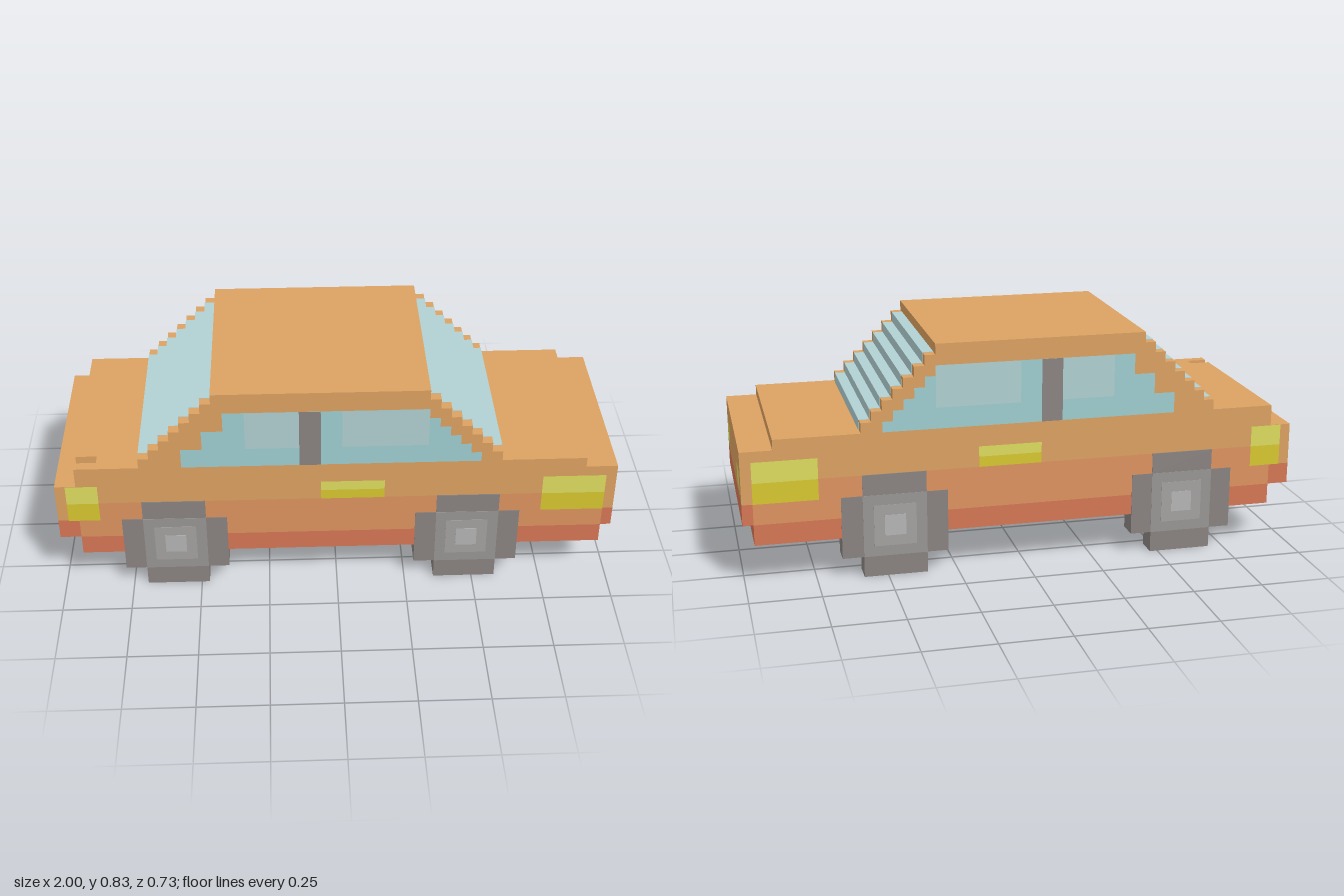
import * as THREE from 'three';

const UNIT = 2 / 53;      // size of one block; everything below is in blocks
const HALF = 9.5;         // half the car's width
const SKIN = 0.04;        // how far painted panels stand off the body

const COLORS = {
  orange: 0xdca161, band: 0xdd935f, red: 0xd67654, glass: 0x9fced0, shine: 0xb1d0d2,
  lamp: 0xdedc60, lampDark: 0xd8c72f, tyre: 0x8a8481, rim: 0x999694, hub: 0xa4a2a1, cap: 0xb6b5b5,
};

export function createModel() {
  const root = new THREE.Group();
  root.name = 'car';
  const car = new THREE.Group();
  car.name = 'blocks';
  car.scale.setScalar(UNIT);
  root.add(car);

  const materials = {};
  for (const key in COLORS) materials[key] = new THREE.MeshStandardMaterial({ color: COLORS[key] });

  const add = (name, geometry, color, x = 0, y = 0, z = 0) => {
    const mesh = new THREE.Mesh(geometry, materials[color]);
    mesh.name = name;
    mesh.position.set(x, y, z);
    car.add(mesh);
    return mesh;
  };

  // x runs 0..53 from the rear, y runs up from the ground, z is centred
  const box = (name, color, x0, x1, y0, y1, z0, z1) =>
    add(name, new THREE.BoxGeometry(x1 - x0, y1 - y0, z1 - z0), color,
      (x0 + x1) / 2 - 26.5, (y0 + y1) / 2, (z0 + z1) / 2);

  const extrude = (name, color, points, z0, z1) => {
    const shape = new THREE.Shape(points.map(([x, y]) => new THREE.Vector2(x - 26.5, y)));
    return add(name, new THREE.ExtrudeGeometry(shape, { depth: z1 - z0, bevelEnabled: false }), color, 0, 0, z0);
  };

  // flat painted rectangle on both flanks
  const flank = (name, color, x0, x1, y0, y1, layer = 1) => {
    for (const side of [1, -1]) {
      const mesh = add(name, new THREE.PlaneGeometry(x1 - x0, y1 - y0), color,
        (x0 + x1) / 2 - 26.5, (y0 + y1) / 2, side * (HALF + SKIN * layer));
      if (side < 0) mesh.rotation.y = Math.PI;
    }
  };

  // lower sill and bumpers
  extrude('sill', 'red',
    [[2, 4], [52, 4], [52, 6], [53, 6], [53, 8], [0, 8], [0, 6], [2, 6]], -HALF, HALF);

  // upper body with stepped windscreen and rear window
  const profile = [[0, 8], [53, 8], [53, 13], [50, 13], [50, 14], [42, 14]];
  for (let i = 0; i < 8; i++) {
    profile.push([42 - i, 15 + i]);
    if (i < 7) profile.push([41 - i, 15 + i]);
  }
  for (let i = 0; i < 8; i++) profile.push([15 - i, 22 - i], [15 - i, 21 - i]);
  profile.push([4, 14], [4, 13], [2, 13], [2, 12], [0, 12]);
  extrude('body', 'orange', profile, -HALF, HALF);

  // rear deck edge, leaving a small notch
  box('rearDeck', 'orange', 2, 4, 13, 14, -HALF, 7.5);
  box('rearDeck', 'orange', 2, 4, 13, 14, 8.5, HALF);

  // glass on each step of the windscreen and rear window
  for (let i = 0; i < 7; i++) {
    box('windscreen', 'shine', 35 + i, 36 + i + SKIN, 20 - i, 21 - i + SKIN, -8.5, 8.5);
    box('rearWindow', 'shine', 14 - i - SKIN, 15 - i, 20 - i, 21 - i + SKIN, -8.5, 8.5);
  }

  // side stripe
  flank('sideStripe', 'band', 2, 52, 6, 10);

  // side windows, row by row, with paler reflections and a door pillar
  for (let row = 0; row < 6; row++) {
    const y = 14 + row;
    const start = 12 + 2 * Math.floor(row / 2);
    flank('sideWindow', 'glass', start, 40 - row, y, y + 1);
  }
  flank('windowReflection', 'shine', 18, 23, 16, 20, 2);
  flank('windowReflection', 'shine', 27, 35, 16, 20, 2);
  flank('doorPillar', 'tyre', 23, 25, 14, 20, 2);

  // two-tone lamps and door handle on the flanks
  for (const [name, x0, x1, y0, ym] of [
    ['tailLamp', 1, 4, 8, 10], ['headLamp', 46, 52, 8, 10], ['doorHandle', 25, 31, 10, 11],
  ]) {
    flank(name, 'lampDark', x0, x1, y0, ym, 2);
    flank(name, 'lamp', x0, x1, ym, 12, 2);
  }

  // lamps on the two ends
  for (const side of [1, -1]) {
    for (const z of [-7, 7]) {
      const lamp = add('endLamp', new THREE.PlaneGeometry(3, 2), 'lamp', side * (26.5 + SKIN), 10, z);
      lamp.rotation.y = side * Math.PI / 2;
    }
  }

  // wheels: cross-shaped tyres with square rims
  for (const cx of [11, 39]) {
    const quarter = [[3, -5], [3, -3], [5, -3], [5, 3], [3, 3], [3, 5]];
    const outline = [...quarter, ...quarter.map(([x, y]) => [-x, -y])].map(([x, y]) => [cx + x, 5 + y]);
    for (const side of [1, -1]) {
      const z0 = side > 0 ? 7.5 : -HALF - 2 * SKIN;
      const z1 = side > 0 ? HALF + 2 * SKIN : -7.5;
      extrude('tyre', 'tyre', outline, z0, z1);
      [['rim', 3], ['hub', 2], ['cap', 1]].forEach(([part, r], i) => {
        const out = SKIN * (i + 1);
        box(part, part, cx - r, cx + r, 5 - r, 5 + r, z0 - out, z1 + out);
      });
    }
  }

  return root;
}
